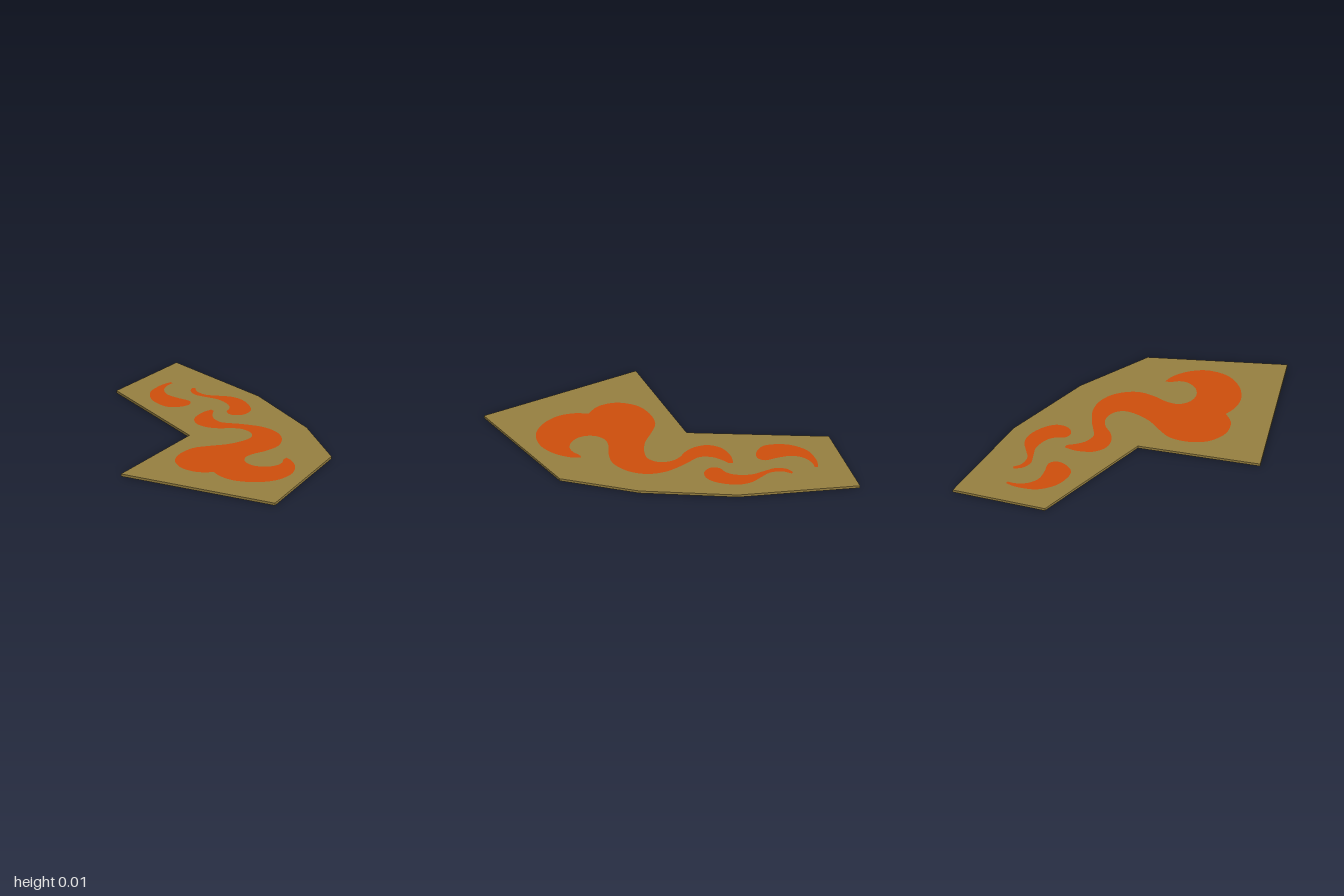
import * as THREE from 'three';

const THICKNESS = 0.014;

// Outline corners as [x, z]
const OUTLINE = [
  [0.06, -0.85], [0.565, -1], [0.635, -0.34], [0.575, 0.19],
  [0.435, 0.615], [-0.215, 1], [-0.638, 0.165], [-0.005, -0.085],
];

// Each inlay is a closed chain of smooth runs; runs meet at sharp corners
const INLAYS = {
  upperFlame: [
    [[0.37, -0.78], [0.3, -0.775], [0.2, -0.73], [0.14, -0.64], [0.13, -0.55], [0.15, -0.485],
      [0.21, -0.453], [0.265, -0.457], [0.29, -0.5], [0.265, -0.57], [0.25, -0.645],
      [0.275, -0.71], [0.325, -0.75], [0.37, -0.763]],
  ],
  sideFlame: [
    [[0.415, -0.645], [0.38, -0.61], [0.37, -0.55], [0.4, -0.485], [0.43, -0.42], [0.43, -0.34],
      [0.405, -0.285], [0.36, -0.25], [0.355, -0.2], [0.4, -0.165], [0.465, -0.18],
      [0.51, -0.245], [0.53, -0.34], [0.51, -0.415], [0.46, -0.47], [0.415, -0.52],
      [0.405, -0.585], [0.428, -0.635]],
  ],
  mainFlame: [
    // inner side, from the upper tip to the notch
    [[0.31, -0.325], [0.24, -0.315], [0.16, -0.27], [0.125, -0.195], [0.145, -0.12], [0.19, -0.07],
      [0.24, -0.04], [0.28, 0.01], [0.285, 0.08], [0.245, 0.135], [0.17, 0.15], [0.08, 0.14],
      [-0.01, 0.105], [-0.1, 0.08], [-0.2, 0.105], [-0.28, 0.165], [-0.317, 0.25],
      [-0.315, 0.32], [-0.28, 0.39], [-0.215, 0.435]],
    // lower lobe, from the notch to the hooked tip
    [[-0.215, 0.435], [-0.222, 0.51], [-0.2, 0.595], [-0.14, 0.67], [-0.06, 0.717],
      [0.02, 0.727], [0.11, 0.7], [0.18, 0.635], [0.22, 0.555], [0.228, 0.49]],
    // hook and outer side, back to the upper tip
    [[0.228, 0.49], [0.2, 0.5], [0.165, 0.535], [0.115, 0.55], [0.055, 0.53], [0.015, 0.48],
      [0.01, 0.415], [0.045, 0.36], [0.11, 0.34], [0.2, 0.342], [0.295, 0.32], [0.375, 0.24],
      [0.405, 0.14], [0.385, 0.04], [0.325, -0.05], [0.28, -0.1], [0.245, -0.145],
      [0.245, -0.205], [0.27, -0.255], [0.31, -0.3]],
  ],
};

const toVectors = (pairs) => pairs.map(([x, z]) => new THREE.Vector2(x, z));

// Sample the smooth runs into one closed loop
function inlayLoop(runs) {
  return runs.flatMap((run, i) => {
    const points = new THREE.SplineCurve(toVectors(run)).getPoints((run.length - 1) * 4);
    return i > 0 ? points.slice(1) : points;
  });
}

// Extrude a flat shape and lay it down on y = 0
function slab(name, shape, material) {
  const geometry = new THREE.ExtrudeGeometry(shape, { depth: THICKNESS, bevelEnabled: false });
  geometry.rotateX(Math.PI / 2).translate(0, THICKNESS, 0);
  const mesh = new THREE.Mesh(geometry, material);
  mesh.name = name;
  return mesh;
}

export function createModel() {
  const olive = new THREE.MeshStandardMaterial({ color: 0x967f40 });
  olive.name = 'olive';
  const orange = new THREE.MeshStandardMaterial({ color: 0xcd4e0c });
  orange.name = 'orange';

  const model = new THREE.Group();
  model.name = 'inlaidPlate';

  // Angular plate with openings, each filled flush by an inlay visible from both sides
  const plate = new THREE.Shape(toVectors(OUTLINE));
  for (const [name, runs] of Object.entries(INLAYS)) {
    const loop = inlayLoop(runs);
    plate.holes.push(new THREE.Path(loop));
    model.add(slab(name, new THREE.Shape(loop), orange));
  }
  model.add(slab('plate', plate, olive));

  return model;
}
